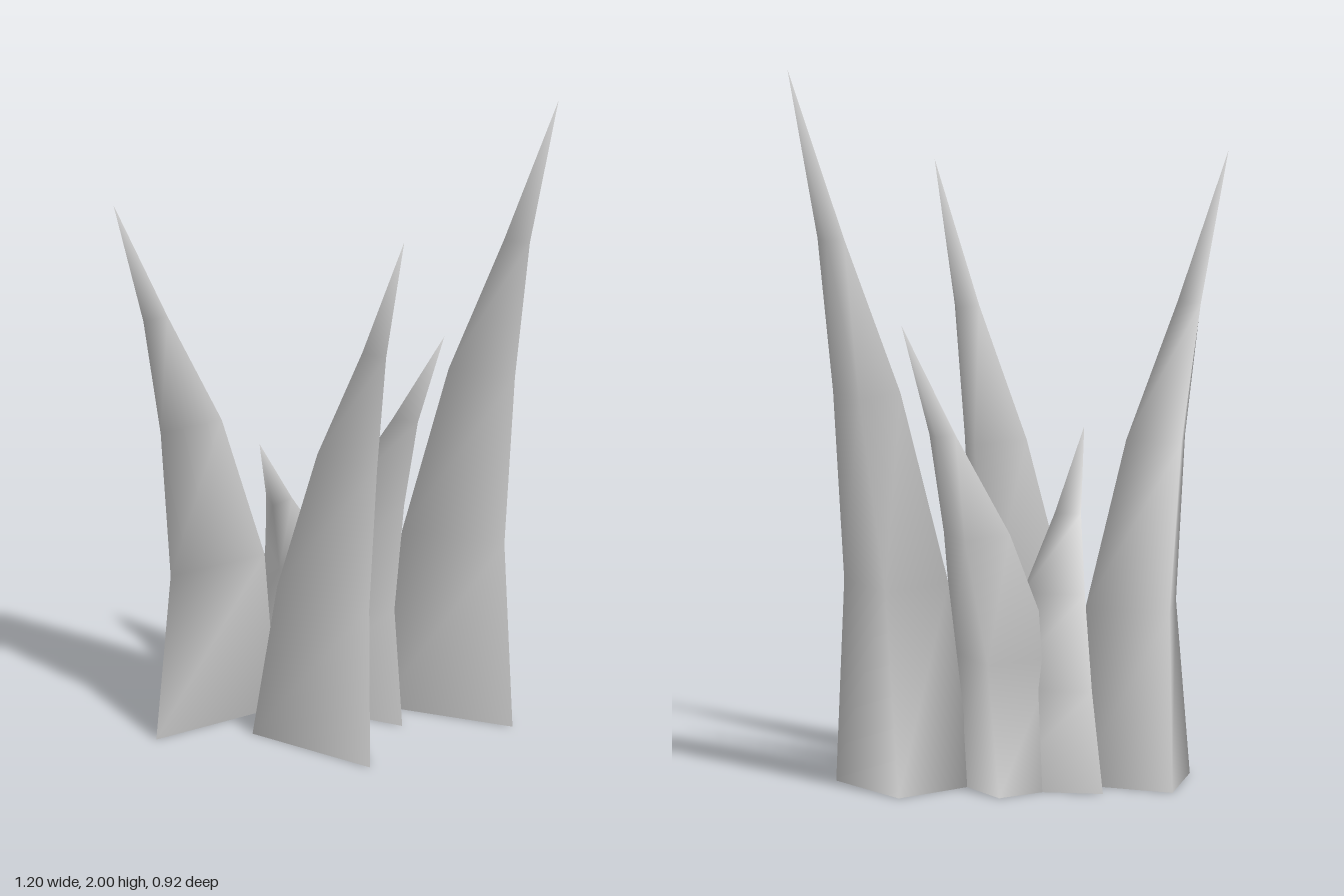
import * as THREE from 'three';

// Cross-sections of a blade: height (fraction), half width, lean, depth, share of the bend
const RINGS = [
  [0, 0.16, 0, 0.365, 0],
  [0.285, 0.137, 0.088, 0.267, 1],
  [0.55, 0.09, 0.228, 0.172, 1],
  [0.765, 0.038, 0.39, 0.065, 0.6],
];
const REACH = 0.56;

// Base: middle of the back edge (x, z). Tip: (x, y, z). Bend: sideways and along the lean.
const BLADES = [
  { name: 'farRightBlade', base: [-0.107, -0.323], tip: [-0.6, 1.74, -0.02], bend: [0.02, -0.035] },
  { name: 'shortBlade', base: [0.115, -0.285], tip: [-0.2, 0.97, 0.09], bend: [0.025, 0] },
  { name: 'frontBlade', base: [0.003, -0.08], tip: [0.08, 1.7, 0.46], bend: [0.005, 0] },
  { name: 'mediumBlade', base: [0.138, -0.28], tip: [0.303, 1.27, 0.237], bend: [-0.018, 0] },
  { name: 'tallLeftBlade', base: [0.393, -0.14], tip: [0.597, 2, 0.365], bend: [-0.02, 0] },
];

// Three-sided hollow blade leaning toward +z and narrowing to a point
function bladeGeometry(height, reach, [side, along]) {
  const positions = [];
  const index = [];
  for (const [h, w, lean, depth, share] of RINGS) {
    const x = side * share;
    const y = h * height;
    const z = (lean * reach) / REACH + along * share;
    positions.push(x + w, y, z, x - w, y, z, x, y, z + depth);
  }
  positions.push(0, height, reach);
  const tip = RINGS.length * 3;
  for (let r = 0; r < RINGS.length; r++) {
    for (let i = 0; i < 3; i++) {
      const a = r * 3 + i;
      const b = r * 3 + ((i + 1) % 3);
      if (r === RINGS.length - 1) index.push(a, b, tip);
      else index.push(a, b, b + 3, a, b + 3, a + 3);
    }
  }
  const geometry = new THREE.BufferGeometry();
  geometry.setAttribute('position', new THREE.Float32BufferAttribute(positions, 3));
  geometry.setIndex(index);
  geometry.computeVertexNormals();
  return geometry;
}

export function createModel() {
  const group = new THREE.Group();
  group.name = 'grassTuft';
  const material = new THREE.MeshStandardMaterial({ color: 0xcccccc, side: THREE.DoubleSide });

  // Each blade is turned so that it leans toward its tip
  for (const { name, base, tip, bend } of BLADES) {
    const dx = tip[0] - base[0];
    const dz = tip[2] - base[1];
    const blade = new THREE.Mesh(bladeGeometry(tip[1], Math.hypot(dx, dz), bend), material);
    blade.name = name;
    blade.position.set(base[0], 0, base[1]);
    blade.rotation.y = Math.atan2(dx, dz);
    group.add(blade);
  }
  return group;
}
